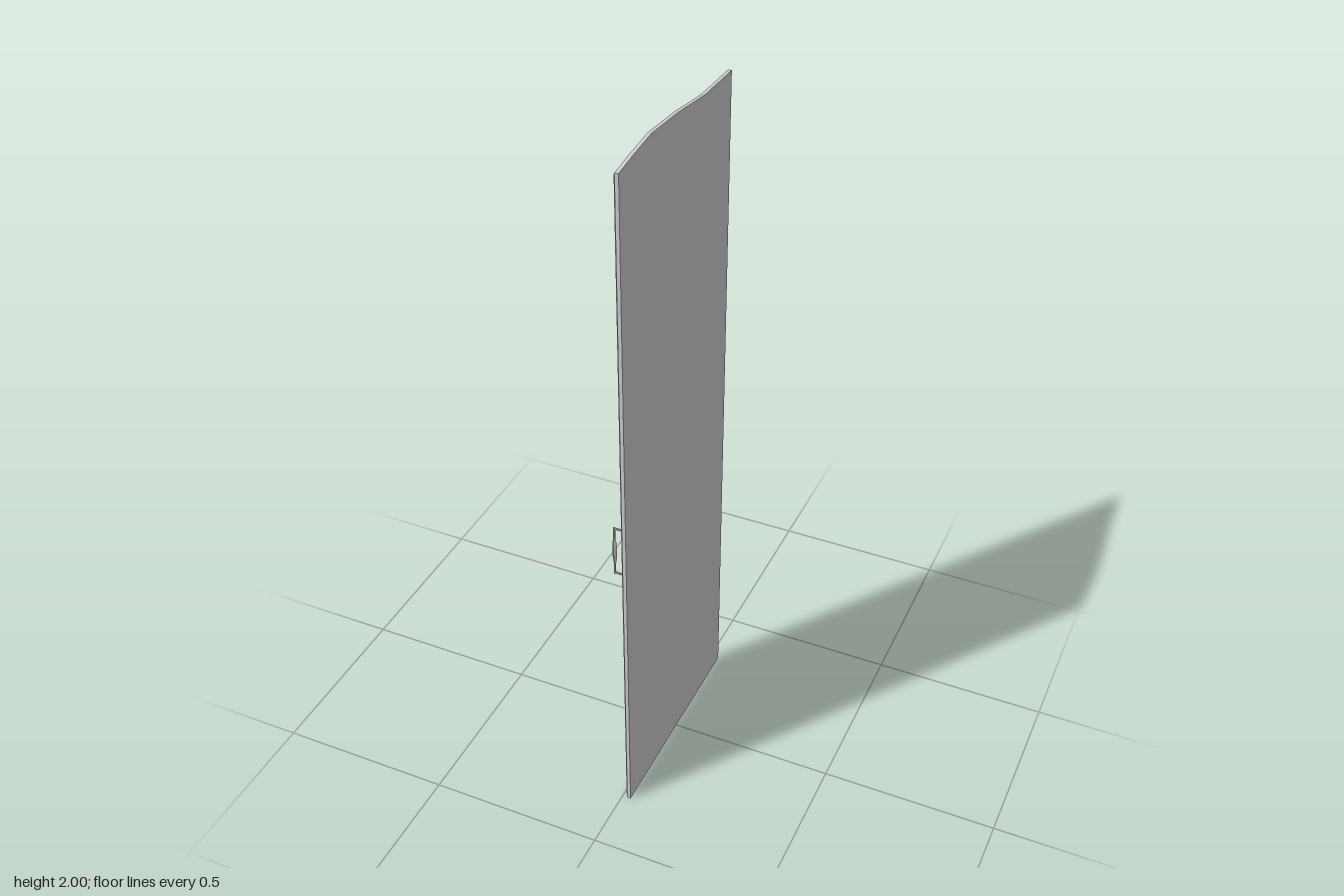
import * as THREE from 'three';

const material = new THREE.MeshStandardMaterial({ color: 0xcccccc, flatShading: true });

// Wavy top edge as [z, y], from the handle side to the hinge side
const TOP = [[0.32, 1.98], [0.25, 1.99], [0.15, 2.0], [0, 1.988], [-0.09, 1.975], [-0.16, 1.966], [-0.32, 1.962]];
const HALF = 0.32;

// Door outline moved inward by d, at depth x
function ring(d, x) {
  const k = (HALF - d) / HALF;
  return [
    [x, d, -HALF + d],
    [x, d, HALF - d],
    ...TOP.map(([z, y]) => [x, y - d, z * k]),
  ];
}

// Every outline point gathered in the middle, closing a face
function hub(x) {
  return ring(0, x).map(() => [x, 1, 0]);
}

// Skin consecutive rings with quads
function loft(rings) {
  const pos = [];
  const same = (p, q) => p.every((v, i) => v === q[i]);
  const tri = (a, b, c) => {
    if (!same(a, b) && !same(b, c) && !same(a, c)) pos.push(...a, ...b, ...c);
  };
  for (let r = 0; r < rings.length - 1; r++) {
    const a = rings[r], b = rings[r + 1];
    for (let i = 0; i < a.length; i++) {
      const j = (i + 1) % a.length;
      tri(a[i], a[j], b[j]);
      tri(a[i], b[j], b[i]);
    }
  }
  const g = new THREE.BufferGeometry();
  g.setAttribute('position', new THREE.Float32BufferAttribute(pos, 3));
  g.computeVertexNormals();
  return g;
}

function part(name, geometry, x = 0, y = 0, z = 0) {
  const m = new THREE.Mesh(geometry, material);
  m.name = name;
  m.position.set(x, y, z);
  return m;
}

export function createModel() {
  const door = new THREE.Group();
  door.name = 'cabinetDoor';

  // Panel: plain back, bevelled rim, flat frame and recessed field
  door.add(part('doorPanel', loft([
    hub(0.025),
    ring(0, 0.025),
    ring(0, 0.015),
    ring(0.01, 0.008),
    ring(0.05, 0.008),
    ring(0.075, 0.016),
    hub(0.016),
  ])));

  // Handle: two posts, a thin grip and a spindle swelling in the middle
  const handle = new THREE.Group();
  handle.name = 'handle';
  handle.position.set(-0.019, 0.885, 0.295);
  for (const s of [-1, 1]) {
    const post = part('handlePost', new THREE.CylinderGeometry(0.003, 0.003, 0.03, 8), 0.0135, s * 0.073, 0);
    post.rotation.z = Math.PI / 2;
    handle.add(post);
  }
  handle.add(part('handleGrip', new THREE.CylinderGeometry(0.003, 0.003, 0.152, 8)));
  const profile = [[0.003, -0.045], [0.005, -0.03], [0.007, -0.012], [0.007, 0.012], [0.005, 0.03], [0.003, 0.045]];
  handle.add(part('handleSpindle', new THREE.LatheGeometry(profile.map(([r, y]) => new THREE.Vector2(r, y)), 4)));
  door.add(handle);

  return door;
}
